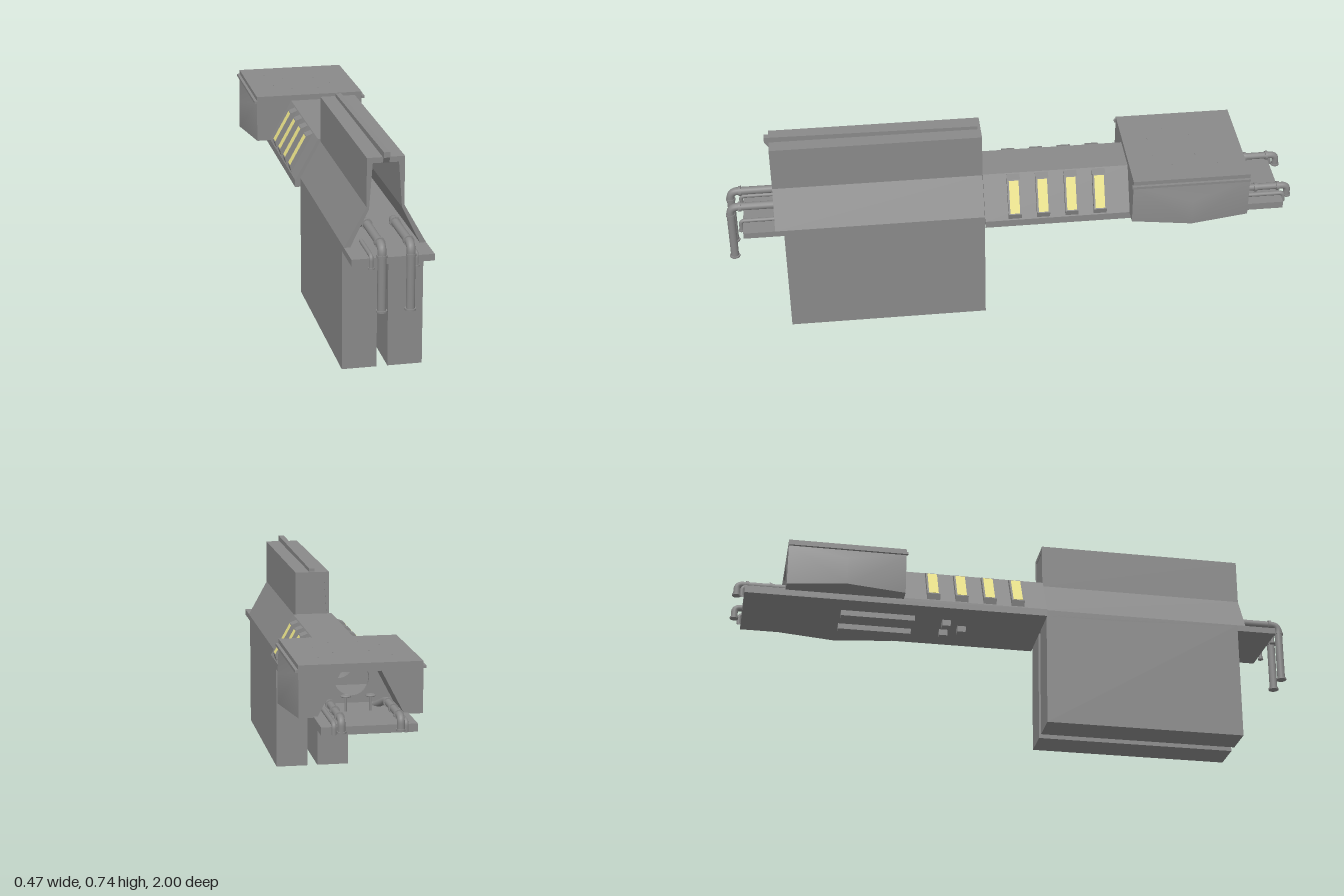
import * as THREE from 'three';

const grey = new THREE.MeshStandardMaterial({ color: 0x898989, flatShading: true, side: THREE.DoubleSide });
const smooth = new THREE.MeshStandardMaterial({ color: 0x898989, side: THREE.DoubleSide });
const yellow = new THREE.MeshStandardMaterial({ color: 0xe6de86 });

export function createModel() {
  const model = new THREE.Group();

  const add = (name, geometry, material = grey) => {
    const mesh = new THREE.Mesh(geometry, material);
    mesh.name = name;
    model.add(mesh);
    return mesh;
  };
  // Box given by its limits on each axis
  const box = (name, x0, x1, y0, y1, z0, z1) => {
    const g = new THREE.BoxGeometry(x1 - x0, y1 - y0, z1 - z0);
    g.translate((x0 + x1) / 2, (y0 + y1) / 2, (z0 + z1) / 2);
    add(name, g);
  };
  const shapeOf = (pts) => new THREE.Shape(pts.map(([x, y]) => new THREE.Vector2(x, y)));
  // Half outline (x >= 0) mirrored into a closed symmetric outline
  const mirrored = (half) => [...half, ...half.map(([x, y]) => [-x, y]).reverse()];
  const slab = (name, shape, z0, z1) => {
    const g = new THREE.ExtrudeGeometry(shape, { depth: z1 - z0, bevelEnabled: false, curveSegments: 20 });
    g.translate(0, 0, z0);
    add(name, g);
  };
  const circularHole = (shape) => {
    shape.holes.push(new THREE.Path().absarc(0, 0.502, 0.057, 0, Math.PI * 2, true));
    return shape;
  };
  // Pipe with rounded elbows through the given corners
  const pipe = (name, pts, r, bend) => {
    const v = pts.map((p) => new THREE.Vector3(...p));
    const path = new THREE.CurvePath();
    let from = v[0];
    for (let i = 1; i < v.length - 1; i++) {
      const a = v[i].clone().add(v[i - 1].clone().sub(v[i]).setLength(bend));
      const b = v[i].clone().add(v[i + 1].clone().sub(v[i]).setLength(bend));
      path.add(new THREE.LineCurve3(from, a));
      path.add(new THREE.QuadraticBezierCurve3(a, v[i], b));
      from = b;
    }
    path.add(new THREE.LineCurve3(from, v[v.length - 1]));
    add(name, new THREE.TubeGeometry(path, 80, r, 14), smooth);
  };
  const collar = (name, x, y, z, r, h, alongZ) => {
    const g = new THREE.CylinderGeometry(r, r, h, 16);
    if (alongZ) g.rotateX(Math.PI / 2);
    g.translate(x, y, z);
    add(name, g, smooth);
  };

  // Front hall: tall hollow tower with flared walls, open to the front
  const hallOuter = [[0.133, 0.41], [0.133, 0.427], [0.061, 0.557], [0.061, 0.718]];
  const hallInner = [[0.113, 0.41], [0.113, 0.427], [0.053, 0.55], [0.042, 0.7]];
  slab('frontHallShell', shapeOf([
    ...hallOuter, ...hallOuter.map(([x, y]) => [-x, y]).reverse(),
    ...hallInner.map(([x, y]) => [-x, y]), ...hallInner.slice().reverse(),
  ]), 0.1, 0.83);
  const endWall = [[0.122, 0.415], [0.122, 0.428], [0.057, 0.554], [0.05, 0.709]];
  slab('frontHallEndWall', circularHole(shapeOf(mirrored(endWall))), 0.102, 0.115);
  box('frontDeck', -0.133, 0.133, 0.405, 0.427, 0.1, 0.94);

  // Ridge rail with an overhanging nose
  const rail = new THREE.ExtrudeGeometry(shapeOf([
    [-0.11, 0.71], [-0.11, 0.73], [-0.845, 0.738], [-0.845, 0.72], [-0.832, 0.7], [-0.82, 0.7], [-0.82, 0.71],
  ]), { depth: 0.02, bevelEnabled: false });
  rail.rotateY(Math.PI / 2).translate(-0.01, 0, 0);
  add('ridgeRail', rail);

  // Corridor with a round bore, on a long floor slab
  const corridor = mirrored([[0.152, 0.42], [0.07, 0.566]]);
  slab('corridor', circularHole(shapeOf(corridor)), -0.412, 0.1);
  box('longFloor', -0.152, 0.152, 0.395, 0.421, -0.96, 0.099);

  // Raised bevelled ribs, each with a flush yellow light strip
  for (const z of [-0.305, -0.205, -0.105, -0.005]) {
    for (const s of [-1, 1]) {
      const rib = [[0.068, 0.564], [0.095, 0.554], [0.155, 0.446], [0.149, 0.424]];
      slab('corridorRib', shapeOf(rib.map(([x, y]) => [s * x, y])), z - 0.023, z + 0.023);
      const strip = add('lightStrip', new THREE.BoxGeometry(0.002, 0.116, 0.034), yellow);
      strip.position.set(s * 0.125, 0.5, z);
      strip.rotation.z = s * Math.atan2(0.06, 0.108);
    }
  }

  // Rear hall: wide block with a flared opening
  slab('rearHall', shapeOf([
    [0.14, 0.417], [0.2, 0.417], [0.2, 0.587], [-0.2, 0.587], [-0.2, 0.417], [-0.14, 0.417],
    [-0.065, 0.56], [0.065, 0.56],
  ]), -0.82, -0.41);
  slab('rearHallInnerWall', circularHole(shapeOf(mirrored([[0.14, 0.418], [0.065, 0.56]]))), -0.66, -0.65);

  for (const s of [-1, 1]) {
    // Leg
    box('leg', s * 0.0755 - 0.0575, s * 0.0755 + 0.0575, 0, 0.427, 0.1, 0.8);

    // Softly shaded side bulge peaking halfway along the hall, with its own underside
    const p = [
      [0.2, 0.565, -0.41], [0.2, 0.417, -0.41], [0.2, 0.565, -0.82], [0.2, 0.417, -0.82],
      [0.235, 0.515, -0.615], [0.235, 0.417, -0.615],
      [0.2, 0.417, -0.41], [0.2, 0.417, -0.82], [0.235, 0.417, -0.615],
    ].map(([x, y, z]) => [s * x, y, z]);
    const bulge = new THREE.BufferGeometry();
    bulge.setAttribute('position', new THREE.Float32BufferAttribute(p.flat(), 3));
    const faces = [0, 1, 5, 0, 5, 4, 2, 4, 5, 2, 5, 3, 0, 4, 2, 6, 7, 8];
    if (s > 0) for (let i = 0; i < faces.length; i += 3) [faces[i], faces[i + 1]] = [faces[i + 1], faces[i]];
    bulge.setIndex(faces);
    bulge.computeVertexNormals();
    add('sideBulge', bulge, smooth);
    box('sideRail', s * 0.204 - 0.006, s * 0.204 + 0.006, 0.563, 0.572, -0.82, -0.405);

    // Roof studs
    for (const [x, z] of [[0.05, -0.5], [0.11, -0.56], [0.06, -0.65], [0.12, -0.72]]) {
      box('roofStud', s * x - 0.002, s * x + 0.002, 0.585, 0.5885, z - 0.002, z + 0.002);
    }

    // Underside blocks
    box('underBar', s * 0.055 - 0.016, s * 0.055 + 0.016, 0.375, 0.4, -0.62, -0.36);
    box('underBlock', s * 0.04 - 0.016, s * 0.04 + 0.016, 0.373, 0.4, -0.26, -0.23);

    // Front pipes: large drop pipe and small side pipe
    const x = s * 0.046;
    pipe('frontDropPipe', [[s * 0.085, 0.425, 0.66], [x, 0.48, 0.73], [x, 0.48, 0.982], [x, 0.265, 0.982]], 0.014, 0.028);
    collar('dropPipeFlange', x, 0.267, 0.982, 0.018, 0.006);
    collar('dropPipeCollar', x, 0.447, 0.982, 0.0165, 0.008);
    collar('dropPipeCollar', x, 0.48, 0.948, 0.018, 0.01, true);
    collar('dropPipeCollar', x, 0.48, 0.77, 0.018, 0.01, true);
    pipe('frontSmallPipe', [[s * 0.072, 0.437, 0.8], [s * 0.072, 0.437, 0.948], [s * 0.072, 0.395, 0.948]], 0.007, 0.014);
    collar('smallPipeFlange', s * 0.072, 0.397, 0.948, 0.01, 0.005);

    // Rear pipes curling over the end of the floor
    const rx = s * 0.093;
    pipe('rearPipe', [[s * 0.07, 0.42, -0.7], [rx, 0.45, -0.76], [rx, 0.45, -0.985], [rx, 0.41, -0.985]], 0.012, 0.02);
    for (const z of [-0.79, -0.87, -0.95]) collar('rearPipeCollar', rx, 0.45, z, 0.016, 0.01, true);
    collar('rearPipeFlange', rx, 0.41, -0.985, 0.015, 0.006);
    pipe('rearSmallPipe', [[s * 0.113, 0.432, -0.78], [s * 0.113, 0.432, -0.967], [s * 0.113, 0.398, -0.967]], 0.008, 0.014);

    // Valve wheel on a stem inside the rear opening
    const wheel = new THREE.TorusGeometry(0.014, 0.003, 8, 18);
    wheel.rotateX(Math.PI / 2).translate(s * 0.04, 0.47, -0.77);
    add('valveWheel', wheel, smooth);
    collar('valveHub', s * 0.04, 0.47, -0.77, 0.012, 0.003);
    collar('valveStem', s * 0.04, 0.445, -0.77, 0.004, 0.05);
  }
  box('underKeel', -0.016, 0.016, 0.373, 0.4, -0.2, -0.17);

  return model;
}
